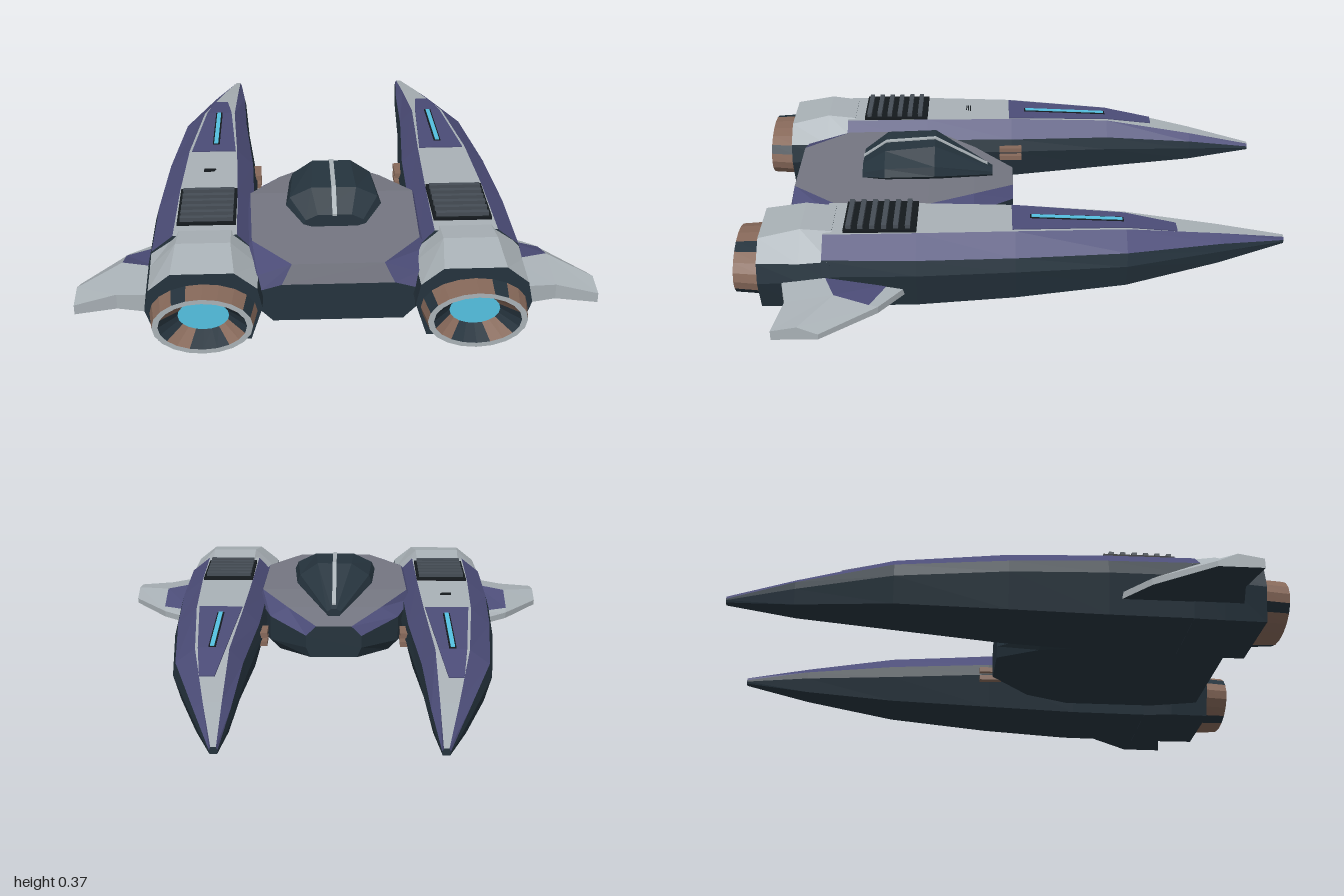
import * as THREE from 'three';

const mat = (name, color) => {
  const m = new THREE.MeshStandardMaterial({ color });
  m.name = name;
  return m;
};

export function createModel() {
  const root = new THREE.Group();
  root.name = 'twinHullShip';

  const light = mat('lightGrey', 0xa9b1b6), grey = mat('bodyGrey', 0x747681);
  const indigo = mat('indigo', 0x4c4d78), dark = mat('darkSlate', 0x25333d);
  const black = mat('black', 0x14191d), steel = mat('steel', 0x454d55);
  const bronze = mat('bronze', 0x87695a), cyan = mat('cyan', 0x54c0e0);

  // Mesh from convex polygons, one geometry group per colour; s = -1 mirrors in x
  function facets(name, polys, s = 1) {
    const buckets = new Map();
    for (const [m, pts] of polys) {
      if (!buckets.has(m)) buckets.set(m, []);
      const p = s < 0 ? [...pts].reverse() : pts;
      for (let i = 1; i < p.length - 1; i++)
        for (const v of [p[0], p[i], p[i + 1]]) buckets.get(m).push(v[0] * s, v[1], v[2]);
    }
    const geo = new THREE.BufferGeometry(), all = [], mats = [];
    for (const [m, list] of buckets) {
      geo.addGroup(all.length / 3, list.length / 3, mats.length);
      mats.push(m);
      for (const n of list) all.push(n);
    }
    geo.setAttribute('position', new THREE.Float32BufferAttribute(all, 3));
    geo.computeVertexNormals();
    const mesh = new THREE.Mesh(geo, mats);
    mesh.name = name;
    root.add(mesh);
  }

  // Skin rings running from back to front; pick(section, edge) chooses the colour
  function loft(rings, pick, startCap, endCap) {
    const polys = [], n = rings[0].length;
    for (let i = 0; i < rings.length - 1; i++)
      for (let j = 0; j < n; j++) {
        const k = (j + 1) % n;
        polys.push([pick(i, j), [rings[i][j], rings[i][k], rings[i + 1][k], rings[i + 1][j]]]);
      }
    if (startCap) polys.push([startCap, [...rings[0]].reverse()]);
    if (endCap) polys.push([endCap, rings.at(-1)]);
    return polys;
  }

  // Eight-sided hull section
  const ring = (inset) => ([z, xi, xo, ti, to, yB, yL, yS, yT]) => {
    const b = inset * (xo - xi), c = 0.04 * (xo - xi);
    return [[xi + b, yB, z], [xo - b, yB, z], [xo, yL, z], [xo - c, yS, z],
      [to, yT, z], [ti, yT, z], [xi + c, yS, z], [xi, yL, z]];
  };
  const bands = (shoulder, top) => (i, j) =>
    j === 4 ? top : j === 3 || j === 5 ? shoulder : dark;

  // Thin strip following rows of [z, x0, x1, y]
  const strip = (rows, h, m) => loft(rows.map(([z, a, b, y]) =>
    [[a, y - 0.004, z], [b, y - 0.004, z], [b, y + h, z], [a, y + h, z]]), () => m, m, m);

  const box = (x0, x1, y0, y1, z0, z1, m) =>
    loft([z0, z1].map((z) => [[x0, y0, z], [x1, y0, z], [x1, y1, z], [x0, y1, z]]), () => m, m, m);

  // Central body
  const bodyRing = ([z, t, w, yB, yS, yT]) => [[-w * 0.85, yB, z], [w * 0.85, yB, z],
    [w, yB + 0.04, z], [w, yS, z], [t, yT, z], [-t, yT, z], [-w, yS, z], [-w, yB + 0.04, z]];
  facets('centralBody', loft([
    [0, 0.07, 0.11, 0.06, 0.15, 0.19],
    [0.15, 0.19, 0.26, 0.04, 0.18, 0.22],
    [0.32, 0.3, 0.32, 0.03, 0.2, 0.24],
    [0.67, 0.29, 0.32, 0.03, 0.2, 0.24],
    [0.835, 0.155, 0.27, 0.03, 0.2, 0.24],
    [0.85, 0.19, 0.26, 0.03, 0.15, 0.17],
  ].map(bodyRing), bands(indigo, grey), dark, dark));

  // Canopy and its spine
  facets('canopy', loft([
    [0.08, -0.03, 0.03, -0.01, 0.01, 0.2, 0.215, 0.225, 0.235],
    [0.3, -0.155, 0.155, -0.07, 0.07, 0.23, 0.275, 0.31, 0.36],
    [0.49, -0.17, 0.17, -0.08, 0.08, 0.235, 0.28, 0.31, 0.347],
    [0.58, -0.11, 0.11, -0.06, 0.06, 0.235, 0.25, 0.265, 0.285],
  ].map(ring(0.2)), () => dark, dark, dark));
  facets('canopySpine', strip([[0.1, -0.008, 0.008, 0.246], [0.3, -0.008, 0.008, 0.36],
    [0.49, -0.008, 0.008, 0.347], [0.582, -0.008, 0.008, 0.285]], 0.005, light));

  // Long side hull
  const hull = loft([
    [-1, 0.36, 0.39, 0.366, 0.384, 0.11, 0.118, 0.124, 0.135],
    [-0.75, 0.335, 0.475, 0.37, 0.435, 0.075, 0.13, 0.16, 0.185],
    [-0.4, 0.315, 0.585, 0.375, 0.5, 0.045, 0.14, 0.19, 0.245],
    [0, 0.28, 0.63, 0.355, 0.54, 0.02, 0.15, 0.2, 0.265],
    [0.35, 0.27, 0.65, 0.345, 0.555, 0.005, 0.15, 0.205, 0.27],
    [0.68, 0.27, 0.65, 0.34, 0.56, 0.002, 0.15, 0.21, 0.27],
  ].map(ring(0.1)), bands(indigo, light), dark, dark);

  // Engine housing
  const housing = loft([
    [0.65, 0.268, 0.652, 0.36, 0.54, 0.001, 0.14, 0.205, 0.272],
    [0.76, 0.25, 0.65, 0.36, 0.545, 0, 0.13, 0.195, 0.285],
    [0.91, 0.255, 0.645, 0.345, 0.555, 0, 0.12, 0.195, 0.255],
  ].map(ring(0.1)), bands(light, light), dark, dark);

  // Oval nozzle: outer wall, rim, inner cone and glowing core
  const SEG = 20;
  const nozzleRings = [[0.9, 0.18, 0.107], [1, 0.165, 0.104], [1, 0.145, 0.088], [0.93, 0.085, 0.055]]
    .map(([z, rx, ry]) => Array.from({ length: SEG }, (_, j) => {
      const a = (j / SEG) * Math.PI * 2;
      return [0.45 + rx * Math.cos(a), 0.11 + ry * Math.sin(a), z];
    }));
  const nozzle = loft(nozzleRings, (i, j) =>
    i === 1 ? light : i === 0 ? (j % 5 === 3 ? dark : bronze) : (j % 5 === 1 || j % 5 === 2 ? bronze : dark),
  null, cyan);

  // Wing: ridge from root to tip with a flat underside
  const A = [0.62, 0.085, 0.39], B = [0.74, 0.085, 0.48], C = [0.89, 0.08, 0.67];
  const D = [0.89, 0.095, 0.83], E = [0.75, 0.115, 0.8], F = [0.62, 0.13, 0.83];
  const G = [0.62, 0.15, 0.68], H = [0.745, 0.14, 0.63], I = [0.89, 0.11, 0.74];
  const A2 = [0.62, 0.1, 0.45], B2 = [0.745, 0.097, 0.51];
  const rim = [A, F, E, D, I, C, B], low = (p) => [p[0], 0.06, p[2]];
  const wing = [
    [light, [A, A2, B2, B]], [indigo, [A2, G, H, B2]], [light, [B, B2, H]],
    [light, [B, H, I, C]], [light, [G, F, E, H]], [light, [H, E, D, I]],
    [dark, rim.map(low).reverse()],
    ...rim.map((p, i) => {
      const q = rim[(i + 1) % rim.length];
      return [light, [low(p), low(q), q, p]];
    }),
  ];

  // Hull top details
  const panel = strip([[-0.59, 0.41, 0.465, 0.2125], [-0.4, 0.388, 0.49, 0.245],
    [0.01, 0.36, 0.53, 0.265]], 0.004, indigo);
  const lampFrame = strip([[-0.395, 0.425, 0.452, 0.246], [-0.055, 0.425, 0.452, 0.262]], 0.006, black);
  const lamp = strip([[-0.39, 0.431, 0.447, 0.246], [-0.06, 0.431, 0.447, 0.262]], 0.009, cyan);
  const vent = box(0.345, 0.55, 0.26, 0.28, 0.35, 0.61, black);
  for (let i = 0; i < 6; i++) {
    const z = 0.372 + i * 0.042;
    vent.push(...box(0.355, 0.54, 0.275, 0.295, z, z + 0.018, steel));
  }

  // Bronze fittings on the inner hull side
  const fittings = [0.12, 0.155].flatMap((y) => box(0.262, 0.31, y, y + 0.02, -0.04, 0.05, bronze));

  for (const [side, s] of [['left', 1], ['right', -1]]) {
    const parts = { Hull: hull, EngineHousing: housing, Nozzle: nozzle, Wing: wing, HullPanel: panel,
      LampFrame: lampFrame, Lamp: lamp, Vent: vent, Fittings: fittings };
    for (const [name, polys] of Object.entries(parts)) facets(side + name, polys, s);
  }

  // Small slots on the right hull only
  facets('rightHullSlots', [0.17, 0.178, 0.186].flatMap((z, i) =>
    box(0.43 + i * 0.003, 0.475, 0.262, 0.271, z, z + 0.004, black)), -1);

  return root;
}
